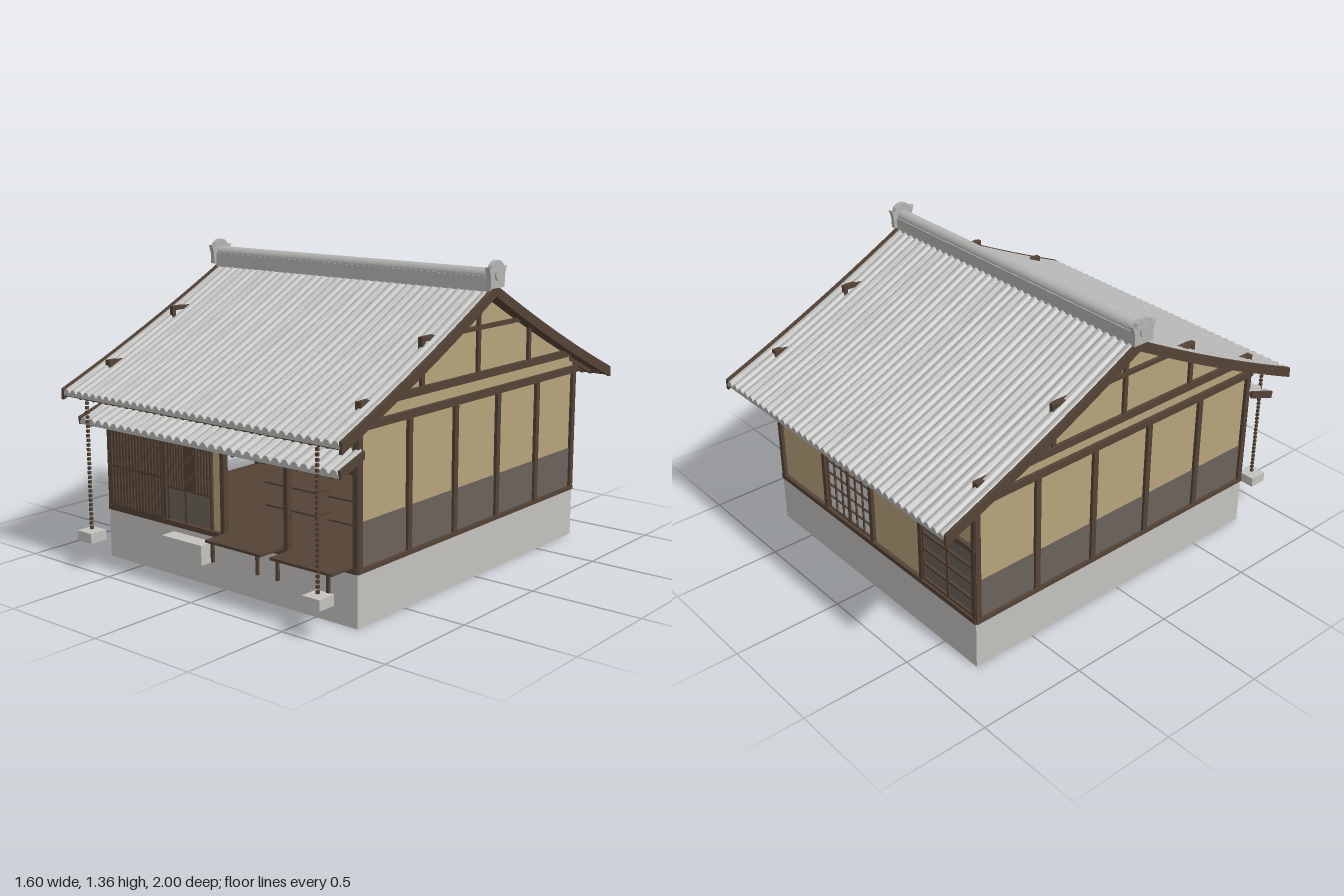
import * as THREE from 'three';
import { toCreasedNormals } from 'three/addons/utils/BufferGeometryUtils.js';

const material = (name, color, side = THREE.FrontSide) => {
  const m = new THREE.MeshStandardMaterial({ color, side });
  m.name = name;
  return m;
};

export function createModel() {
  const model = new THREE.Group();
  model.name = 'house';
  const stone = material('stone', 0xc4c2be);
  const wood = material('dark wood', 0x544336, THREE.DoubleSide);
  const plaster = material('plaster', 0xb7a37b);
  const wainscotMat = material('weathered boards', 0x6b625a);
  const paper = material('paper', 0xd3d3d3);
  const tile = material('roof tile', 0xb4b4b3, THREE.DoubleSide);

  const add = (name, geo, mat, parent = model) => {
    const m = new THREE.Mesh(geo, mat);
    m.name = name;
    parent.add(m);
    return m;
  };
  // Box given by its bounds
  const box = (name, mat, x0, x1, y0, y1, z0, z1, parent) => {
    const m = add(name, new THREE.BoxGeometry(x1 - x0, y1 - y0, z1 - z0), mat, parent);
    m.position.set((x0 + x1) / 2, (y0 + y1) / 2, (z0 + z1) / 2);
    return m;
  };
  // One-sided upright panel; turn is its facing angle about y
  const panel = (name, mat, w, h, x, y, z, turn = 0) => {
    const m = add(name, new THREE.PlaneGeometry(w, h), mat);
    m.position.set(x, y, z);
    m.rotation.y = turn;
    return m;
  };
  // Outline in (z, y), extruded from x0 to x1
  const sideExtrude = (name, mat, pts, x0, x1, parent) => {
    const shape = new THREE.Shape(pts.map(p => new THREE.Vector2(p[0], p[1])));
    const geo = new THREE.ExtrudeGeometry(shape, { depth: x1 - x0, bevelEnabled: false });
    geo.rotateY(-Math.PI / 2).translate(x1, 0, 0);
    return add(name, geo, mat, parent);
  };
  // Sheet with round rolls, swept along (z, y) points from ridge to eave
  const sheet = (halfX, rolls, bump, path, lip = 0) => {
    const steps = bump ? rolls * 8 : 1, pos = [], index = [];
    const rows = lip ? [...path, [path.at(-1)[0], path.at(-1)[1] - lip]] : path;
    rows.forEach(([z, y], j) => {
      for (let i = 0; i <= steps; i++) {
        const u = ((i / 8) % 1) * 2 - 1;
        const h = j < path.length ? bump * Math.sqrt(Math.max(0, 1 - (u / 0.76) ** 2)) : 0;
        pos.push(-halfX + 2 * halfX * i / steps, y + h, z);
        if (i < steps && j < rows.length - 1) {
          const a = j * (steps + 1) + i, b = a + steps + 1;
          index.push(a, b, a + 1, a + 1, b, b + 1);
        }
      }
    });
    const g = new THREE.BufferGeometry();
    g.setAttribute('position', new THREE.Float32BufferAttribute(pos, 3));
    g.setIndex(index);
    return toCreasedNormals(g, 0.9);
  };

  // Hollow stone base and floor
  for (const s of [-1, 1]) {
    box('baseSide', stone, s * 0.705 - 0.005, s * 0.705 + 0.005, 0, 0.22, -0.8, 0.8);
    box('baseEnd', stone, -0.705, 0.705, 0, 0.22, s * 0.795 - 0.005, s * 0.795 + 0.005);
  }
  box('baseTop', stone, -0.7, 0.7, 0.205, 0.22, -0.79, 0.79);
  box('floor', wood, -0.69, 0.69, 0.221, 0.235, -0.785, 0.79);

  // Roof line: slightly hollow slope
  const run = 0.99;
  const roofY = d => { const t = d / run; return 1.26 - 0.475 * t - 0.06 * t * (1 - t); };
  const slope = (drop, end = run, start = 0) => Array.from({ length: 11 }, (_, i) => {
    const d = start + (end - start) * i / 10;
    return [d, roofY(d) - drop];
  });
  const chevron = (top, bottom, end) => {
    const t = slope(top, end), b = slope(bottom, end);
    return [...t.slice(1).reverse().map(p => [-p[0], p[1]]), ...t,
      ...b.slice(1).reverse(), ...b.map(p => [-p[0], p[1]])];
  };

  // Side walls and gables
  for (const s of [-1, 1]) {
    const turn = s * Math.PI / 2;
    panel('sideWall', plaster, 1.58, 0.56, s * 0.7, 0.5, 0, turn);
    panel('sideWainscot', wainscotMat, 1.58, 0.185, s * 0.703, 0.328, 0, turn);
    const sideBeam = (name, y0, y1, half) =>
      box(name, wood, s * 0.703 - 0.014, s * 0.703 + 0.014, y0, y1, -half, half);
    sideBeam('sideSill', 0.22, 0.238, 0.8);
    sideBeam('sideTopBeam', 0.778, 0.81, 0.81);
    sideBeam('gableTie', 0.86, 0.892, 0.79);
    sideBeam('gableUpperTie', 1.07, 1.088, 0.39);
    for (let i = 0; i < 6; i++) {
      const z = -0.787 + i * 0.3148;
      box('sidePost', wood, s * 0.702 - 0.013, s * 0.702 + 0.013, 0.22, 0.78, z - 0.013, z + 0.013);
    }
    for (const [z, top] of [[-0.393, 1.088], [0, 1.23], [0.393, 1.088]])
      box('gablePost', wood, s * 0.703 - 0.01, s * 0.703 + 0.01, 0.88, top, z - 0.01, z + 0.01);
    const edge = slope(0.03, 0.79);
    sideExtrude('gableWall', plaster, [[-0.79, 0.79], ...edge.slice(1).reverse().map(p => [-p[0], p[1]]),
      ...edge, [0.79, 0.79]], s * 0.697 - 0.003, s * 0.697 + 0.003);
  }

  // Front and back framing
  const postX = [-0.699, -0.352, -0.005, 0.345, 0.699];
  for (const s of [-1, 1]) {
    const beam = (name, y0, y1) => box(name, wood, -0.71, 0.71, y0, y1, s * 0.793 - 0.013, s * 0.793 + 0.013);
    beam('sill', 0.22, 0.242);
    beam('topBeam', 0.778, 0.81);
    if (s > 0) beam('frontLintel', 0.61, 0.635); else beam('backRail', 0.57, 0.588);
    for (const x of postX)
      box('post', wood, x - 0.011, x + 0.011, 0.22, 0.78, s * 0.79 - 0.013, s * 0.79 + 0.013);
  }
  panel('frontUpperWall', plaster, 1.4, 0.15, 0, 0.71, 0.787);

  // Lattice of bars over a rectangle
  const lattice = (name, x0, x1, y0, y1, cols, rows, z, bar, depth) => {
    const g = new THREE.Group();
    g.name = name;
    model.add(g);
    for (let i = 0; i <= cols; i++) {
      const x = x0 + (x1 - x0) * i / cols;
      box('upright', wood, x - bar / 2, x + bar / 2, y0, y1, z - depth / 2, z + depth / 2, g);
    }
    for (let j = 0; j <= rows; j++) {
      const y = y0 + (y1 - y0) * j / rows;
      box('crossbar', wood, x0, x1, y - bar / 2, y + bar / 2, z - depth / 2, z + depth / 2, g);
    }
  };

  // Front left bay: slatted window
  lattice('slattedWindow', -0.685, -0.366, 0.245, 0.605, 16, 2, 0.795, 0.0115, 0.022);
  panel('slattedWindowPaper', paper, 0.32, 0.37, -0.525, 0.425, 0.775);

  // Second bay: sliding doors and plaster strip
  lattice('doorLatticeLeft', -0.328, -0.23, 0.387, 0.59, 6, 1, 0.79, 0.008, 0.016);
  lattice('doorLatticeMiddle', -0.23, -0.165, 0.387, 0.59, 7, 1, 0.79, 0.0085, 0.016);
  lattice('doorLatticeRight', -0.165, -0.078, 0.387, 0.59, 5, 1, 0.79, 0.008, 0.016);
  panel('doorPaper', paper, 0.25, 0.21, -0.203, 0.488, 0.777);
  panel('doorLowerBoards', wainscotMat, 0.25, 0.14, -0.203, 0.312, 0.785);
  for (const x of [-0.333, -0.228, -0.076])
    box('doorStile', wood, x - 0.005, x + 0.005, 0.24, 0.6, 0.782, 0.796);
  box('doorHead', wood, -0.34, -0.072, 0.588, 0.6, 0.782, 0.798);
  panel('doorSidePlaster', plaster, 0.07, 0.37, -0.042, 0.425, 0.785);

  // Open bays: shelves and benches
  for (const [x0, x1] of [[0.03, 0.315], [0.38, 0.665]])
    for (const y of [0.325, 0.424]) box('shelf', wood, x0, x1, y - 0.004, y + 0.004, 0.48, 0.58);
  for (const [x0, x1] of [[0.02, 0.325], [0.375, 0.69]]) {
    box('benchTop', wood, x0, x1, 0.242, 0.253, 0.78, 0.93);
    for (const x of [x0 + 0.027, x1 - 0.03])
      box('benchLeg', wood, x - 0.006, x + 0.006, 0.16, 0.245, 0.908, 0.92);
  }

  // Back wall: plaster, paper window, boarded window
  const back = Math.PI;
  panel('backUpperWall', plaster, 1.4, 0.2, 0, 0.68, -0.787, back);
  for (const x of [0.522, -0.178]) panel('backPlaster', plaster, 0.35, 0.34, x, 0.41, -0.787, back);
  panel('backPaper', paper, 0.34, 0.34, 0.17, 0.41, -0.787, back);
  lattice('paperWindowBars', 0.015, 0.325, 0.25, 0.562, 6, 5, -0.79, 0.006, 0.009);
  box('paperWindowStile', wood, 0.163, 0.177, 0.245, 0.57, -0.797, -0.788);
  panel('backBoards', wainscotMat, 0.34, 0.34, -0.525, 0.41, -0.787, back);
  lattice('boardedWindowBars', -0.685, -0.366, 0.25, 0.562, 2, 4, -0.792, 0.011, 0.012);
  // Room side of the back wall
  panel('innerPlaster', plaster, 0.35, 0.55, 0.522, 0.5, -0.78);
  panel('innerUpperPlaster', plaster, 0.34, 0.2, 0.17, 0.68, -0.78);
  panel('innerPaper', paper, 0.34, 0.33, 0.17, 0.415, -0.78);
  panel('innerLowerBoards', wainscotMat, 0.32, 0.035, 0.17, 0.268, -0.777);
  box('innerSeam', plaster, 0.168, 0.172, 0.25, 0.57, -0.78, -0.777);
  box('innerRail', wood, 0.01, 0.34, 0.57, 0.588, -0.782, -0.77);

  // Main roof
  const roof = new THREE.Group();
  roof.name = 'roof';
  roof.position.z = -0.007;
  model.add(roof);
  const rafterShape = [...slope(0.032, 0.965, 0.75), ...slope(0.052, 0.965, 0.75).reverse()];
  for (const turn of [0, Math.PI]) {
    const half = new THREE.Group();
    half.name = 'roofSlope';
    half.rotation.y = turn;
    roof.add(half);
    add('roofTiles', sheet(0.775, 36, 0.016, slope(0.015), 0.012), tile, half);
    add('roofBoards', sheet(0.77, 1, 0, slope(0.031, 0.985)), wood, half);
    for (let i = 0; i < 34; i++) {
      const x = -0.693 + i * 0.042;
      sideExtrude('rafter', wood, rafterShape, x - 0.007, x + 0.007, half);
    }
    box('eaveBatten', wood, -0.77, 0.77, 0.75, 0.765, 0.955, 0.975, half);
  }
  for (const s of [-1, 1])
    sideExtrude('bargeboard', wood, chevron(0, 0.047, run), s * 0.778 - 0.008, s * 0.778 + 0.008, roof);

  // Ridge and its end ornaments
  box('ridgeBase', tile, -0.78, 0.78, 1.235, 1.298, -0.035, 0.035);
  const cap = add('ridgeCap', new THREE.CylinderGeometry(0.03, 0.03, 1.56, 16), tile);
  cap.rotation.z = Math.PI / 2;
  cap.position.y = 1.3;
  const halfOrnament = [[0.05, 1.25], [0.052, 1.3], [0.064, 1.338], [0.046, 1.328], [0.038, 1.347], [0.02, 1.36]];
  const ornament = [...halfOrnament, [0, 1.364], ...halfOrnament.slice().reverse().map(p => [-p[0], p[1]])];
  for (const s of [-1, 1]) {
    sideExtrude('ridgeOrnament', tile, ornament, s * 0.784 - 0.011, s * 0.784 + 0.011);
    const disc = add('ridgeDisc', new THREE.CylinderGeometry(0.025, 0.025, 0.02, 16), tile);
    disc.rotation.z = Math.PI / 2;
    disc.position.set(s * 0.792, 1.305, 0);
  }

  // Small front eave
  add('frontEaveTiles', sheet(0.73, 30, 0.018, [[0.79, 0.7], [0.86, 0.67], [0.935, 0.642]], 0.012), tile);
  add('frontEaveBoards', sheet(0.725, 1, 0, [[0.79, 0.686], [0.93, 0.628]]), wood);
  for (const s of [-1, 1])
    sideExtrude('frontEaveEnd', wood, [[0.79, 0.71], [0.937, 0.66], [0.932, 0.627], [0.79, 0.678]],
      s * 0.732 - 0.006, s * 0.732 + 0.006);
  for (let i = 0; i < 9; i++) {
    const x = -0.68 + i * 0.17;
    sideExtrude('frontEaveRafter', wood, [[0.79, 0.686], [0.92, 0.632], [0.92, 0.62], [0.79, 0.67]], x - 0.007, x + 0.007);
  }

  // Rain chains, their stones and the doorstep
  for (const x of [-0.65, 0.646]) {
    for (let y = 0.175; y < 0.75; y += 0.0205)
      box('chainLink', wood, x - 0.006, x + 0.006, y, y + 0.013, 0.952, 0.964);
    box('chainStone', stone, x - 0.044, x + 0.044, 0.125, 0.17, 0.915, 1.0);
  }
  box('doorstep', stone, -0.295, -0.06, 0.11, 0.197, 0.803, 0.875);
  return model;
}
